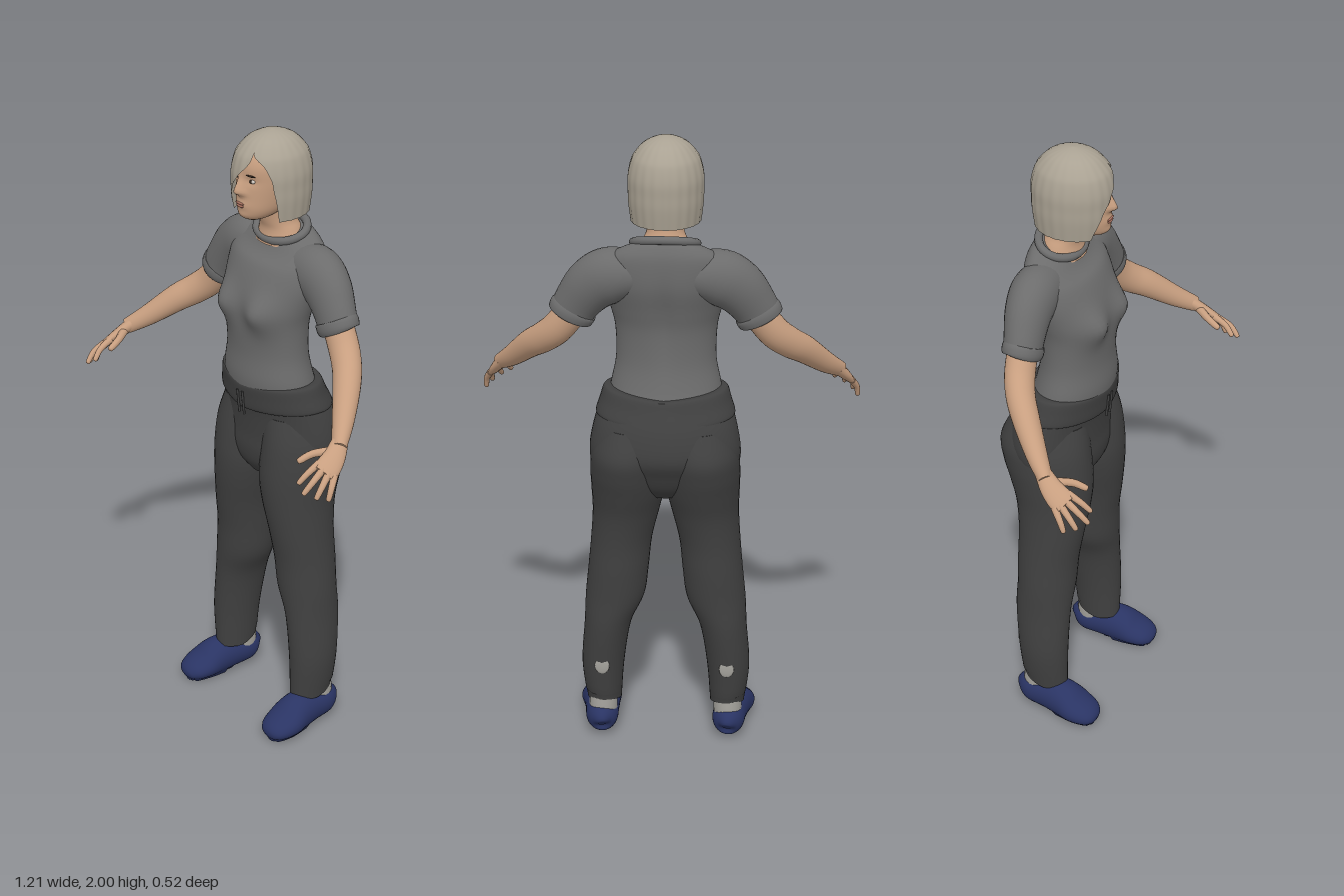
import * as THREE from 'three';

const mat = (name, color, side = THREE.FrontSide) => {
  const m = new THREE.MeshStandardMaterial({ color, side });
  m.name = name;
  return m;
};

// Catmull-Rom interpolation of rows of numbers, `sub` steps per interval
function smoothRows(rows, sub) {
  const out = [], n = rows.length - 1;
  for (let i = 0; i < n; i++) {
    const [p, q, r, s] = [rows[Math.max(i - 1, 0)], rows[i], rows[i + 1], rows[Math.min(i + 2, n)]];
    for (let k = 0; k < sub; k++) {
      const t = k / sub;
      out.push(q.map((b, c) => b + 0.5 * t * (r[c] - p[c] + t * (2 * p[c] - 5 * b + 4 * r[c] - s[c]
        + t * (3 * (b - r[c]) + s[c] - p[c])))));
    }
  }
  out.push(rows[n]);
  return out;
}

function build(pos, idx) {
  const g = new THREE.BufferGeometry();
  g.setAttribute('position', new THREE.Float32BufferAttribute(pos, 3));
  g.setIndex(idx);
  g.computeVertexNormals();
  return g;
}

// Closed loft through rows [x, y, z, radiusA, radiusB].
// Without ref the sections lie flat (A = x, B = z, rows run upward);
// with ref they stand across the path and A = ref x path.
function loft(rows, { ref = null, seg = 28, sub = 5, deform = null } = {}) {
  const R = smoothRows(rows, sub), pos = [], idx = [];
  const P = R.map(r => new THREE.Vector3(r[0], r[1], r[2]));
  R.forEach((r, i) => {
    let A = new THREE.Vector3(0, 0, 1), B = new THREE.Vector3(1, 0, 0), a = r[4], b = r[3];
    if (ref) {
      const T = P[Math.min(i + 1, P.length - 1)].clone().sub(P[Math.max(i - 1, 0)]).normalize();
      A = ref.clone().cross(T).normalize();
      B = T.clone().cross(A);
      [a, b] = [r[3], r[4]];
    }
    for (let j = 0; j < seg; j++) {
      const t = j / seg * Math.PI * 2;
      const v = P[i].clone().addScaledVector(A, a * Math.cos(t)).addScaledVector(B, b * Math.sin(t));
      if (deform) deform(v);
      pos.push(v.x, v.y, v.z);
    }
  });
  for (let i = 0; i < R.length - 1; i++) for (let j = 0; j < seg; j++) {
    const a = i * seg + j, b = i * seg + (j + 1) % seg;
    idx.push(a, b, a + seg, b, b + seg, a + seg);
  }
  // End caps with their own vertices
  for (const [ring, flip] of [[0, true], [R.length - 1, false]]) {
    const base = pos.length / 3, c = [0, 0, 0];
    for (let j = 0; j < seg; j++) for (let k = 0; k < 3; k++) {
      const v = pos[(ring * seg + j) * 3 + k];
      pos.push(v);
      c[k] += v / seg;
    }
    pos.push(...c);
    for (let j = 0; j < seg; j++) {
      const a = base + j, b = base + (j + 1) % seg;
      idx.push(...(flip ? [b, a, base + seg] : [a, b, base + seg]));
    }
  }
  return build(pos, idx);
}

function mirrored(geo) {
  const g = geo.clone().applyMatrix4(new THREE.Matrix4().makeScale(-1, 1, 1));
  const a = g.index.array;
  for (let i = 0; i < a.length; i += 3) [a[i], a[i + 1]] = [a[i + 1], a[i]];
  return g;
}

const blob = (x, y, z, a, b, c) => new THREE.SphereGeometry(1, 16, 12).scale(a, b, c).translate(x, y, z);
const bell = (d, w) => Math.exp(-(d * d) / (w * w));

// Bob with a side parting: rows [y, scale, left edge, right edge] in degrees from the front
function hairGeometry() {
  const R = smoothRows([[1.742, 0.93, 66, -40], [1.80, 0.99, 62, -28], [1.84, 1, 58, -16], [1.88, 1, 54, 0],
    [1.92, 0.93, 42, 18], [1.945, 0.83, 24, 22], [1.975, 0.6, 22, 22], [1.993, 0.3, 22, 22], [2, 0.001, 22, 22]], 5);
  const n = 96, pos = [], idx = [];
  R.forEach(([y, s, l, r], i) => {
    for (let j = 0; j <= n; j++) {
      const t = THREE.MathUtils.degToRad(l + (360 + r - l) * j / n);
      const k = s * (1 + 0.008 * Math.sin(t * 22));
      pos.push(0.114 * k * Math.sin(t), y, -0.064 + 0.128 * k * Math.cos(t));
      if (i && j) {
        const d = i * (n + 1) + j, b = d - n - 1;
        idx.push(b - 1, b, d - 1, b, d, d - 1);
      }
    }
  });
  return build(pos, idx);
}

export function createModel() {
  const model = new THREE.Group();
  model.name = 'woman';
  const skin = mat('skin', 0xc89f80), hair = mat('ash blonde hair', 0xaaa293, THREE.DoubleSide);
  const shirt = mat('grey shirt', 0x6c6c6c), trousers = mat('charcoal trousers', 0x404040);
  const shoe = mat('navy shoe', 0x2a3464), sock = mat('pale sock', 0xa3a19b);
  const lip = mat('lips', 0xa8705f), dark = mat('dark brown', 0x35281f), white = mat('eye white', 0xcfc8c0);

  const add = (name, geo, m) => {
    const mesh = new THREE.Mesh(geo, m);
    mesh.name = name;
    model.add(mesh);
  };
  const pair = (name, geo, m) => {
    add(name + 'Left', geo, m);
    add(name + 'Right', mirrored(geo), m);
  };

  // Head with nose, brow hollows and chin shaped into the face
  add('head', loft([[0, 1.733, 0, 0.022, 0.028], [0, 1.745, -0.01, 0.045, 0.056], [0, 1.77, -0.03, 0.065, 0.085],
    [0, 1.81, -0.045, 0.078, 0.1], [0, 1.86, -0.055, 0.088, 0.108], [0, 1.91, -0.06, 0.09, 0.112],
    [0, 1.95, -0.062, 0.075, 0.095], [0, 1.975, -0.062, 0.04, 0.06]], {
    seg: 72, sub: 7, deform: v => {
      if (v.z < 0) return;
      const nose = v.y > 1.83 ? bell(v.y - 1.83, 0.034) : bell(v.y - 1.83, 0.012);
      v.z += 0.027 * nose * bell(v.x, 0.013 + 0.004 * bell(v.y - 1.826, 0.012));
      v.z -= 0.006 * bell(Math.abs(v.x) - 0.034, 0.018) * bell(v.y - 1.865, 0.013);
      v.z += 0.004 * bell(v.x, 0.025) * (bell(v.y - 1.787, 0.012) + bell(v.y - 1.752, 0.012));
    } }), skin);
  add('neck', loft([[0, 1.64, -0.1, 0.088, 0.07], [0, 1.685, -0.098, 0.07, 0.06], [0, 1.72, -0.085, 0.056, 0.056],
    [0, 1.79, -0.07, 0.055, 0.06]]), skin);
  add('hair', hairGeometry(), hair);
  pair('eye', blob(0.035, 1.865, 0.038, 0.013, 0.006, 0.006), white);
  pair('iris', blob(0.034, 1.865, 0.0415, 0.006, 0.006, 0.004), dark);
  pair('eyebrow', blob(0, 0, 0, 0.018, 0.003, 0.003).rotateY(0.25).translate(0.036, 1.883, 0.045), dark);
  add('upperLip', blob(0, 1.791, 0.058, 0.02, 0.004, 0.004), lip);
  add('lowerLip', blob(0, 1.783, 0.057, 0.017, 0.005, 0.005), lip);

  // Shirt body, with the neckline tilted down at the front
  add('shirtBody', loft([[0, 1.165, -0.067, 0.178, 0.122], [0, 1.22, -0.055, 0.17, 0.115], [0, 1.3, -0.05, 0.155, 0.105],
    [0, 1.4, -0.048, 0.157, 0.108], [0, 1.47, -0.057, 0.172, 0.113], [0, 1.55, -0.08, 0.19, 0.11],
    [0, 1.62, -0.1, 0.187, 0.092], [0, 1.655, -0.105, 0.15, 0.073], [0, 1.678, -0.105, 0.098, 0.058]], {
    seg: 56, deform: v => {
      if (v.z > -0.04) v.z += 0.034 * bell(Math.abs(v.x) - 0.085, 0.05) * bell(v.y - 1.45, 0.055);
      else v.z += 0.012 * bell(v.x, 0.03) * bell(v.y - 1.45, 0.15);
      v.y -= (v.z + 0.105) * 0.4 * THREE.MathUtils.smoothstep(v.y, 1.58, 1.67);
    } }), shirt);
  const neckline = [...Array(16)].map((_, i) => {
    const t = i / 8 * Math.PI, c = Math.cos(t);
    return new THREE.Vector3(0.096 * Math.sin(t), 1.68 - 0.026 * c, -0.103 + 0.062 * c);
  });
  add('collar', new THREE.TubeGeometry(new THREE.CatmullRomCurve3(neckline, true), 64, 0.013, 10, true), shirt);

  // Sleeves and cuffs
  const front = new THREE.Vector3(0, 0, 1);
  pair('sleeve', loft([[0.09, 1.585, -0.11, 0.07, 0.07], [0.165, 1.577, -0.11, 0.087, 0.075],
    [0.22, 1.545, -0.105, 0.084, 0.069], [0.265, 1.49, -0.096, 0.073, 0.06], [0.29, 1.443, -0.09, 0.068, 0.055]],
  { ref: front }), shirt);
  pair('cuff', loft([[0.277, 1.468, -0.093, 0.066, 0.054], [0.28, 1.463, -0.093, 0.074, 0.061],
    [0.29, 1.443, -0.09, 0.072, 0.06], [0.293, 1.437, -0.09, 0.064, 0.052]], { ref: front, sub: 3 }), shirt);

  // Bare arms and hands
  pair('arm', loft([[0.265, 1.485, -0.095, 0.05, 0.046], [0.325, 1.402, -0.082, 0.05, 0.046],
    [0.375, 1.355, -0.055, 0.048, 0.044], [0.425, 1.315, -0.012, 0.044, 0.041],
    [0.49, 1.25, 0.055, 0.034, 0.032], [0.537, 1.208, 0.108, 0.025, 0.022]], { ref: front }), skin);
  const palmUp = new THREE.Vector3(0.64, 0.71, 0.23);
  pair('palm', loft([[0.525, 1.22, 0.093, 0.025, 0.021], [0.545, 1.19, 0.13, 0.033, 0.018],
    [0.556, 1.167, 0.165, 0.038, 0.015], [0.561, 1.157, 0.185, 0.032, 0.011]], { ref: palmUp, seg: 18 }), skin);
  const fingers = {
    indexFinger: [[0.534, 1.18, 0.178], [0.532, 1.158, 0.22], [0.524, 1.132, 0.246]],
    middleFinger: [[0.553, 1.167, 0.18], [0.561, 1.142, 0.225], [0.556, 1.113, 0.253]],
    ringFinger: [[0.568, 1.156, 0.172], [0.582, 1.128, 0.208], [0.583, 1.1, 0.228]],
    littleFinger: [[0.578, 1.15, 0.157], [0.594, 1.12, 0.182], [0.598, 1.09, 0.195]],
    thumb: [[0.53, 1.2, 0.125], [0.496, 1.192, 0.172], [0.483, 1.176, 0.212]],
  };
  for (const [name, [a, b, c]] of Object.entries(fingers)) {
    const tip = c.map((v, k) => v + (v - b[k]) * 0.15), r = name === 'thumb' ? 0.014 : 0.0115;
    pair(name, loft([[...a, r, r], [...b, r * 0.85, r * 0.85], [...c, r * 0.68, r * 0.68], [...tip, 0.002, 0.002]],
      { ref: palmUp, seg: 10, sub: 4 }), skin);
  }

  // Trousers: hips, legs, waistband and drawstring
  add('hips', loft([[0, 0.87, -0.085, 0.08, 0.085], [0, 0.91, -0.09, 0.175, 0.115], [0, 0.96, -0.098, 0.225, 0.132],
    [0, 1.02, -0.11, 0.235, 0.143], [0, 1.1, -0.1, 0.222, 0.138], [0, 1.17, -0.076, 0.199, 0.128],
    [0, 1.195, -0.07, 0.188, 0.122]], { seg: 48 }), trousers);
  pair('trouserLeg', loft([[0.2, 0.11, -0.075, 0.055, 0.074], [0.203, 0.25, -0.081, 0.068, 0.083],
    [0.186, 0.4, -0.088, 0.075, 0.092], [0.162, 0.5, -0.086, 0.094, 0.096], [0.15, 0.6, -0.085, 0.096, 0.1],
    [0.14, 0.7, -0.078, 0.097, 0.108], [0.125, 0.8, -0.078, 0.106, 0.122], [0.117, 0.88, -0.088, 0.116, 0.137],
    [0.116, 0.95, -0.101, 0.118, 0.146], [0.113, 1.02, -0.11, 0.114, 0.146], [0.1, 1.1, -0.1, 0.095, 0.12]], {
    seg: 36, deform: v => {
      if (v.y < 0.13) v.y += Math.max(0, -0.06 - v.z) * 0.3;
    } }), trousers);
  add('waistband', loft([[0, 1.118, -0.088, 0.206, 0.128], [0, 1.126, -0.087, 0.216, 0.14], [0, 1.165, -0.076, 0.204, 0.133],
    [0, 1.2, -0.068, 0.193, 0.127], [0, 1.207, -0.067, 0.18, 0.118]], {
    seg: 48, deform: v => { v.y += 0.35 * (Math.abs(v.x) - 0.12) * (v.z > -0.1 ? 0.3 : 0.25); } }), trousers);
  pair('drawstring', new THREE.CylinderGeometry(0.004, 0.004, 0.08, 8).rotateX(0.1).translate(0.012, 1.13, 0.056), trousers);
  pair('calfPatch', blob(0.2, 0.27, -0.164, 0.024, 0.028, 0.004), sock);

  // Socks and slip-on shoes with flat soles
  pair('sock', loft([[0.204, 0.06, -0.1, 0.045, 0.05], [0.203, 0.1, -0.1, 0.046, 0.052], [0.202, 0.145, -0.098, 0.045, 0.05]],
    { seg: 20 }), sock);
  pair('shoe', loft([[0.203, 0.055, -0.16, 0.012, 0.015], [0.204, 0.06, -0.152, 0.035, 0.04], [0.206, 0.064, -0.12, 0.051, 0.055],
    [0.21, 0.064, -0.06, 0.055, 0.06], [0.216, 0.06, 0, 0.061, 0.062], [0.222, 0.046, 0.05, 0.066, 0.047],
    [0.224, 0.035, 0.095, 0.055, 0.034], [0.224, 0.028, 0.118, 0.034, 0.02], [0.224, 0.026, 0.125, 0.01, 0.007]], {
    ref: new THREE.Vector3(0, 1, 0), seg: 32, deform: v => {
      v.y = Math.max(v.y, v.z < -0.05 ? 0.012 : 0.004);
      if (v.y < 0.01) v.y = 0;
    } }), shoe);
  return model;
}
